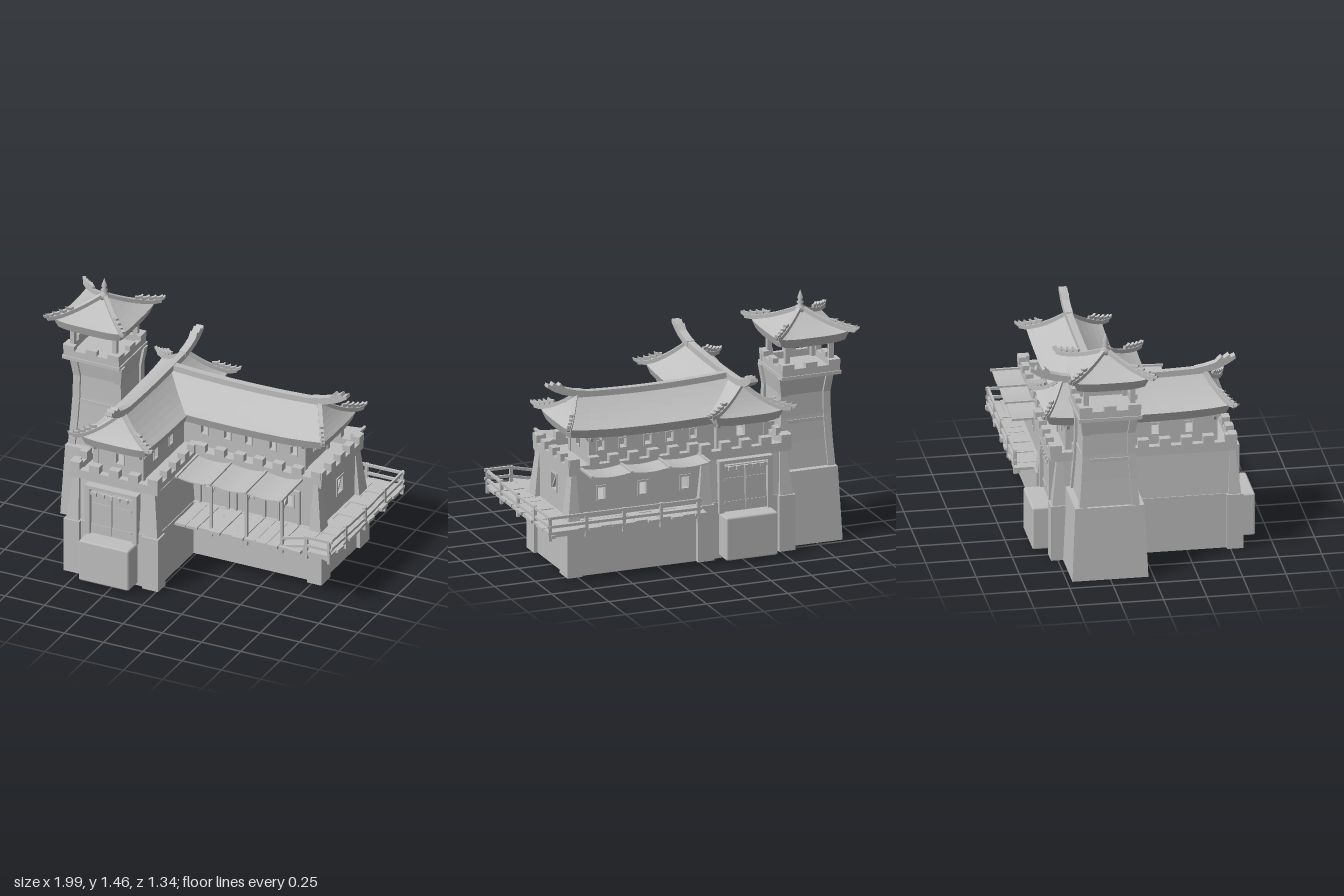
import * as THREE from 'three';
import { RoundedBoxGeometry } from 'three/addons/geometries/RoundedBoxGeometry.js';

const stone = new THREE.MeshStandardMaterial({ color: 0xbfbfbf });
stone.name = 'grey stone';

function add(parent, name, geo) {
  const m = new THREE.Mesh(geo, stone);
  m.name = name;
  parent.add(m);
  return m;
}
function box(parent, name, x0, x1, y0, y1, z0, z1) {
  const m = add(parent, name, new THREE.BoxGeometry(x1 - x0, y1 - y0, z1 - z0));
  m.position.set((x0 + x1) / 2, (y0 + y1) / 2, (z0 + z1) / 2);
  return m;
}
function group(parent, name) {
  const g = new THREE.Group();
  g.name = name;
  parent.add(g);
  return g;
}
// Closed, flat-shaded solid through a stack of rings
function loft(rings) {
  const n = rings[0].length, last = rings.length - 1, idx = [];
  for (let j = 0; j < last; j++) for (let i = 0; i < n; i++) {
    const a = j * n + i, b = j * n + (i + 1) % n;
    idx.push(a, b, b + n, a, b + n, a + n);
  }
  for (let i = 1; i < n - 1; i++) idx.push(0, i + 1, i, last * n, last * n + i, last * n + i + 1);
  const g = new THREE.BufferGeometry();
  g.setAttribute('position', new THREE.Float32BufferAttribute(rings.flat(2), 3));
  g.setIndex(idx);
  const flat = g.toNonIndexed();
  flat.computeVertexNormals();
  return flat;
}
const ring = (x0, x1, z0, z1, y) => [[x0, y, z1], [x1, y, z1], [x1, y, z0], [x0, y, z0]];
// Hollow block, open at the bottom; f(inset, y) gives its outline
const hollow = (f, y, t = 0.008) => loft([f(t, y - 0.02), f(t, 0), f(0, 0), f(0, y)]);
// Rectangular bar along a path, w wide and h tall
function sweep(pts, w, h) {
  const up = new THREE.Vector3(0, 1, 0);
  return loft(pts.map((p, i) => {
    const t = pts[Math.min(i + 1, pts.length - 1)].clone().sub(pts[Math.max(i - 1, 0)]).setY(0).normalize();
    const s = up.clone().cross(t);
    return [[-1, -1], [1, -1], [1, 1], [-1, 1]].map(([a, b]) =>
      [p.x + s.x * a * w / 2, p.y + b * h / 2, p.z + s.z * a * w / 2]);
  }));
}
const V = (x, y, z) => new THREE.Vector3(x, y, z);
const bar = (parent, name, a, b, w, h = w) => add(parent, name, sweep([V(...a), V(...b)], w, h));

// Flat outline given thickness and turned to point along a horizontal direction
function fin(parent, name, pts, thick, pos, dx, dz, s = 1) {
  const g = new THREE.ExtrudeGeometry(new THREE.Shape(pts.map(p => new THREE.Vector2(p[0] * s, p[1] * s))),
    { depth: thick, bevelEnabled: false });
  g.translate(0, 0, -thick / 2);
  const m = add(parent, name, g);
  m.position.copy(pos);
  m.rotation.y = -Math.atan2(dz, dx);
}
const HOOK = [[0, 0], [0.03, 0], [0.052, 0.014], [0.055, 0.03], [0.042, 0.022], [0.025, 0.02], [0, 0.024]];
const TAIL = [[0, 0], [0.08, 0.005], [0.14, 0.022], [0.19, 0.045], [0.235, 0.075], [0.23, 0.095], [0.205, 0.082], [0.195, 0.1],
  [0.165, 0.078], [0.15, 0.09], [0.12, 0.058], [0.06, 0.04], [0, 0.03]];

// Hip roof with a fascia, ridge, projecting hips and ornaments
function hipRoof(parent, name, { cx, cz, hx, hz, rx, rz, eave, top, ext, sag = 0, ends = [-1, 1] }) {
  const g = group(parent, name);
  const P = (sx, sz, v) => {
    const k = 1 - v, c = Math.abs(sx * sz) ** 4, t = rx > rz ? sx : sz;
    return V(cx + sx * (rx + (hx - rx) * k),
      eave + (top - eave) * (0.65 * v + 0.35 * v * v) + 0.014 * c * k ** 3 - sag * (1 - t * t),
      cz + sz * (rz + (hz - rz) * k));
  };
  const N = 10, edge = [];
  for (let i = 0; i < N; i++) edge.push([-1 + 2 * i / N, 1]);
  for (let i = 0; i < N; i++) edge.push([1, 1 - 2 * i / N]);
  for (let i = 0; i < N; i++) edge.push([1 - 2 * i / N, -1]);
  for (let i = 0; i < N; i++) edge.push([-1, -1 + 2 * i / N]);
  const rows = [edge.map(([a, b]) => { const p = P(a, b, 0); return [p.x - a * 0.02, p.y - 0.055, p.z - b * 0.02]; })];
  for (let j = 0; j <= 6; j++) rows.push(edge.map(([a, b]) => P(a, b, j / 6).toArray()));
  add(g, 'roofSlopes', loft(rows));
  // hips with rows of upturned hooks
  for (const sx of [-1, 1]) for (const sz of [-1, 1]) {
    if (!ends.includes(rx > rz ? sx : sz)) continue;
    const path = [];
    for (let j = 6; j >= 0; j--) path.push(P(sx, sz, j / 6).add(V(0, 0.008, 0)));
    const dir = path[6].clone().sub(path[4]).setY(0).normalize();
    path.push(path[6].clone().addScaledVector(dir, ext * 0.6).add(V(0, 0.002, 0)));
    add(g, 'hipRidge', sweep(path, 0.024, 0.024));
    fin(g, 'hipTip', HOOK, 0.016, path[7].clone().addScaledVector(dir, ext * 0.4 - 0.055).add(V(0, -0.004, 0)), dir.x, dir.z);
    for (let i = 0; i < 4; i++)
      fin(g, 'hipHook', HOOK, 0.016, P(sx, sz, i * 0.13).add(V(0, 0.016, 0)), dir.x, dir.z, 0.85);
  }
  // ridge and its tail ornaments
  if (rx + rz > 0) {
    const path = [];
    for (let i = 0; i <= 10; i++) { const t = -1 + i / 5; path.push((rx > rz ? P(t, 1, 1) : P(1, t, 1)).add(V(0, 0.008, 0))); }
    add(g, 'ridge', sweep(path, 0.04, 0.035));
    for (const e of ends) {
      const dx = rx > rz ? e : 0, dz = rx > rz ? 0 : e;
      fin(g, 'ridgeTail', TAIL, 0.045, V(cx + dx * (rx - 0.05), top - 0.003, cz + dz * (rz - 0.05)), dx, dz);
    }
  }
}
// Wall from (x0,z0) to (x1,z1) with rectangular openings [start, end, bottom, top] and frames
function wall(parent, name, x0, z0, x1, z1, y0, y1, holes, frame = 0.012) {
  const len = Math.hypot(x1 - x0, z1 - z0), g = group(parent, name);
  const rect = (T, a, b, c, d) => new T([[a, c], [b, c], [b, d], [a, d]].map(p => new THREE.Vector2(...p)));
  const s = rect(THREE.Shape, 0, len, y0, y1);
  holes.forEach(h => s.holes.push(rect(THREE.Path, ...h)));
  add(g, 'wallPanel', new THREE.ExtrudeGeometry(s, { depth: 0.02, bevelEnabled: false }).translate(0, 0, -0.01));
  for (const [a, b, c, d] of holes) {
    for (const [p, q] of [[a - frame, a], [b, b + frame]]) box(g, 'windowJamb', p, q, c - frame, d + frame, -0.016, 0.016);
    for (const [p, q] of [[c - frame, c], [d, d + frame]]) box(g, 'windowRail', a, b, p, q, -0.016, 0.016);
  }
  g.position.set(x0, 0, z0);
  g.rotation.y = -Math.atan2(z1 - z0, x1 - x0);
}
// Low wall with merlons, axis aligned
function parapet(parent, x0, x1, z0, z1, y, low, high, pitch) {
  const g = group(parent, 'parapet'), alongX = x1 - x0 > z1 - z0;
  box(g, 'parapetWall', x0, x1, y, y + low, z0, z1);
  const L = alongX ? x1 - x0 : z1 - z0, n = Math.max(2, Math.round(L / pitch)), w = L / (2 * n - 1);
  for (let i = 0; i < n; i++) {
    const a = 2 * i * w, b = a + w;
    alongX ? box(g, 'merlon', x0 + a, x0 + b, y + low, y + high, z0 - 0.003, z1 + 0.003)
      : box(g, 'merlon', x0 - 0.003, x1 + 0.003, y + low, y + high, z0 + a, z0 + b);
  }
}
// Base block plus leaning buttress; the outer faces lean inward
function corner(parent, x0, x1, z0, z1, sx, sz) {
  add(parent, 'basePillar', hollow((t, y) => ring(x0 + t, x1 - t, z0 + t, z1 - t, y), 0.335));
  const c = (a, b, s, d, e) => s > 0 ? [a + e, b - d] : [a + d, b - e];
  add(parent, 'leaningPillar', loft([
    ring(...c(x0, x1, sx, 0.01, 0.01), ...c(z0, z1, sz, 0.01, 0.01), 0.335),
    ring(...c(x0, x1, sx, 0.042, 0.022), ...c(z0, z1, sz, 0.042, 0.022), 0.615)]));
}
// Double gate on a wall, built for +z
function gate(parent, x, z, turn) {
  const g = group(parent, 'gate');
  for (const s of [-1, 1]) {
    box(g, 'gateJamb', s * 0.15 - 0.015, s * 0.15 + 0.015, 0.27, 0.57, -0.03, 0.018);
    box(g, 'gateLeaf', s * 0.066 - 0.064, s * 0.066 + 0.064, 0.28, 0.55, -0.03, 0);
    for (let i = 0; i < 2; i++) box(g, 'gateBand', s * 0.066 - 0.06, s * 0.066 + 0.06, 0.32 + i * 0.14, 0.335 + i * 0.14, -0.01, 0.004);
  }
  box(g, 'gateLintel', -0.165, 0.165, 0.565, 0.585, -0.03, 0.02);
  box(g, 'gateBeam', -0.135, 0.135, 0.525, 0.545, -0.03, 0.01);
  for (let i = -2; i <= 2; i++) box(g, 'beamStud', i * 0.05 - 0.009, i * 0.05 + 0.009, 0.524, 0.546, -0.01, 0.022);
  add(g, 'gateStep', new RoundedBoxGeometry(0.32, 0.26, 0.14, 1, 0.012)).position.set(0, 0.143, 0.042);
  g.position.set(x, 0, z);
  g.rotation.y = turn;
}
// Sagging cloth slab on beams
function awning(parent, xs, z0, z1, y0, y1) {
  const g = group(parent, 'awning');
  const a = xs[0], b = xs[xs.length - 1];
  const geo = new THREE.BoxGeometry(b - a, 0.008, z1 - z0, 24, 1, 4).toNonIndexed(), p = geo.attributes.position;
  for (let i = 0; i < p.count; i++) {
    const x = p.getX(i) + (a + b) / 2, t = p.getZ(i) / (z1 - z0) + 0.5;
    const k = Math.max(0, xs.findIndex(v => v >= x - 1e-6) - 1);
    const sag = Math.sin(Math.PI * (x - xs[k]) / (xs[k + 1] - xs[k])) * 0.013;
    p.setY(i, p.getY(i) + y0 + (y1 - y0) * t - Math.abs(sag));
  }
  geo.computeVertexNormals();
  add(g, 'awningCloth', geo).position.set((a + b) / 2, 0, (z0 + z1) / 2);
  for (const x of xs) bar(g, 'awningBeam', [x, y0 + 0.006, z0 - 0.01], [x, y1 + 0.006, z1 + 0.01], 0.014);
}

export function createModel() {
  const root = new THREE.Group();
  root.name = 'fortifiedHouse';

  // Hollow stone base and corner pillars
  const base = group(root, 'base');
  add(base, 'baseWalls', hollow((t, y) => [[-0.015 - t, y, 0.06 - t], [0.79 - t, y, 0.06 - t], [0.79 - t, y, -0.51 + t],
    [-0.565 + t, y, -0.51 + t], [-0.565 + t, y, 0.55 - t], [-0.015 - t, y, 0.55 - t]], 0.335));
  corner(base, -0.59, -0.49, 0.48, 0.573, -1, 1);
  corner(base, -0.09, 0.012, 0.48, 0.573, 1, 1);
  corner(base, -0.59, -0.49, -0.54, -0.44, -1, -1);
  corner(base, -0.09, 0.012, -0.54, -0.44, 1, -1);
  corner(base, 0.72, 0.812, -0.027, 0.09, 1, 1);
  corner(base, 0.72, 0.812, -0.53, -0.41, 1, -1);

  // Middle storey
  const mid = group(root, 'middleStorey');
  add(mid, 'hallWalls', loft([ring(-0.56, -0.02, -0.505, 0.54, 0.335), ring(-0.54, -0.04, -0.485, 0.51, 0.615)]));
  const slots = [0.07, 0.33, 0.585].map(x => [x - 0.022 + 0.05, x + 0.022 + 0.05, 0.44, 0.51]);
  wall(mid, 'wingFrontWall', -0.05, 0.03, 0.76, 0.03, 0.335, 0.615, slots);
  wall(mid, 'wingBackWall', -0.05, -0.475, 0.76, -0.475, 0.335, 0.615, slots);
  wall(mid, 'wingEndWall', 0.76, -0.475, 0.76, 0.03, 0.335, 0.615, [[0.21, 0.28, 0.445, 0.535]]);
  bar(mid, 'openShutter', [0.765, 0.45, -0.2], [0.765, 0.53, -0.25], 0.012, 0.02);
  for (const [a, b] of [[0.02, 0.2], [0.25, 0.43], [0.52, 0.65]]) {
    for (const x of [a, b]) box(mid, 'wallStrip', x - 0.007, x + 0.007, 0.335, 0.54, 0.03, 0.058);
    box(mid, 'wallHeader', a - 0.007, b + 0.007, 0.538, 0.552, 0.03, 0.06);
  }
  gate(mid, -0.29, 0.555, 0);
  gate(mid, -0.29, -0.512, Math.PI);

  // Terrace floor and battlements
  const terrace = group(root, 'terrace');
  box(terrace, 'hallTerrace', -0.565, -0.008, 0.6, 0.618, -0.53, 0.54);
  box(terrace, 'wingTerrace', -0.02, 0.787, 0.6, 0.618, -0.498, 0.045);
  const line = (x0, x1, z0, z1) => parapet(terrace, x0, x1, z0, z1, 0.61, 0.045, 0.09, 0.115);
  line(-0.565, -0.008, 0.5, 0.54);
  line(-0.565, -0.008, -0.54, -0.5);
  line(-0.565, -0.525, -0.535, 0.535);
  line(-0.052, -0.012, 0.01, 0.535);
  line(-0.012, 0.787, 0.008, 0.045);
  line(-0.012, 0.787, -0.5, -0.463);
  line(0.75, 0.79, -0.497, 0.042);

  // Upper storey with small see-through windows
  const upper = group(root, 'upperStorey');
  const gap = [0.13, 0.18, 0.695, 0.76], sides = [0.28, 0.085, -0.28].map(z => [z + 0.42 - 0.022, z + 0.42 + 0.022, 0.69, 0.755]);
  for (const z of [-0.42, 0.43]) wall(upper, 'hallEndWall', -0.45, z, -0.16, z, 0.615, 0.83, [gap], 0.006);
  for (const x of [-0.45, -0.16]) wall(upper, 'hallSideWall', x, -0.42, x, 0.43, 0.615, 0.83, sides, 0.006);
  const slits = [-0.02, 0.125, 0.26, 0.415, 0.55].map(x => [x + 0.16 - 0.02, x + 0.16 + 0.02, 0.7, 0.755]);
  for (const z of [-0.38, -0.1]) wall(upper, 'wingSideWall', -0.16, z, 0.61, z, 0.615, 0.83, slits, 0.006);
  wall(upper, 'wingEndWall', 0.61, -0.38, 0.61, -0.1, 0.615, 0.83, [[0.135, 0.18, 0.69, 0.755]], 0.006);
  for (const [x, z, sx, sz] of [[-0.45, 0.43, -1, 1], [-0.16, 0.43, 1, 1], [-0.45, -0.42, -1, -1], [-0.16, -0.42, 1, -1],
    [0.61, -0.1, 1, 1], [0.61, -0.38, 1, -1]]) {
    box(upper, 'cornerPost', x - 0.016, x + 0.016, 0.615, 0.82, z - 0.016, z + 0.016);
    bar(upper, 'eaveBracket', [x, 0.74, z], [x + sx * 0.03, 0.79, z], 0.016, 0.022);
    bar(upper, 'eaveBracket', [x, 0.74, z], [x, 0.79, z + sz * 0.03], 0.016, 0.022);
  }
  for (const x of [0.05, 0.2, 0.4, 0.55]) box(upper, 'rafterEnd', x - 0.01, x + 0.01, 0.77, 0.79, -0.43, -0.05);

  // Main roofs
  hipRoof(root, 'hallRoof', { cx: -0.305, cz: -0.02, hx: 0.208, hz: 0.53, rx: 0, rz: 0.41, eave: 0.845, top: 0.995, ext: 0.075, sag: 0.01 });
  hipRoof(root, 'wingRoof', { cx: 0.18, cz: -0.235, hx: 0.588, hz: 0.22, rx: 0.46, rz: 0, eave: 0.85, top: 0.993, ext: 0.07, sag: 0.016, ends: [1] });

  // Watchtower
  const tower = group(root, 'watchtower');
  const TX = -0.71, TZ = -0.25;
  add(tower, 'towerBase', hollow((t, y) => ring(-0.91 + y * 0.05 + t, -0.51 - y * 0.03 - t,
    TZ - 0.22 + y * 0.045 + t, TZ + 0.22 - y * 0.045 - t, y), 0.44));
  const prof = [[0.44, 0.172], [0.6, 0.16], [0.75, 0.152], [0.88, 0.15], [0.99, 0.165]];
  add(tower, 'towerShaft', loft(prof.map(([y, h]) => ring(TX - h + 0.012, TX + h - 0.012, TZ - h + 0.012, TZ + h - 0.012, y))));
  for (const sx of [-1, 1]) for (const sz of [-1, 1]) {
    add(tower, 'shaftPillar', loft(prof.map(([y, h]) => {
      const x = TX + sx * (h - 0.02), z = TZ + sz * (h - 0.02);
      return ring(x - 0.022, x + 0.022, z - 0.022, z + 0.022, y);
    })));
    const px = -0.735 + sx * 0.135, pz = TZ + sz * 0.135;
    box(tower, 'lookoutPost', px - 0.014, px + 0.014, 0.99, 1.2, pz - 0.014, pz + 0.014);
  }
  box(tower, 'shaftBand', TX - 0.147, TX + 0.147, 0.71, 0.73, TZ - 0.147, TZ + 0.147);
  box(tower, 'lookoutFloor', -0.918, -0.552, 0.985, 1.005, TZ - 0.183, TZ + 0.183);
  for (const s of [-1, 1]) {
    const x = -0.735 + s * 0.162, z = TZ + s * 0.162;
    parapet(tower, -0.912, -0.558, z - 0.014, z + 0.014, 1.0, 0.045, 0.075, 0.12);
    parapet(tower, x - 0.014, x + 0.014, TZ - 0.175, TZ + 0.175, 1.0, 0.045, 0.075, 0.12);
    box(tower, 'lookoutBeam', -0.87, -0.6, 1.165, 1.19, TZ + s * 0.135 - 0.012, TZ + s * 0.135 + 0.012);
    box(tower, 'lookoutBeam', -0.735 + s * 0.135 - 0.012, -0.735 + s * 0.135 + 0.012, 1.165, 1.19, TZ - 0.135, TZ + 0.135);
  }
  hipRoof(tower, 'towerRoof', { cx: -0.738, cz: TZ, hx: 0.216, hz: 0.216, rx: 0, rz: 0, eave: 1.235, top: 1.35, ext: 0.062 });
  const spire = [[0, 1.33], [0.03, 1.33], [0.03, 1.36], [0.012, 1.37], [0.022, 1.385], [0.01, 1.395], [0.018, 1.41], [0, 1.46]];
  add(tower, 'finial', new THREE.LatheGeometry(spire.map(p => new THREE.Vector2(...p)), 8)).position.set(-0.738, 0, TZ);

  // Timber decks with uneven planks
  const deck = group(root, 'deck');
  const jit = i => 0.008 * Math.sin(i * 2.7);
  for (let i = 0; i < 11; i++) {
    const x = i * 0.073;
    box(deck, 'frontPlank', x, x + 0.07, 0.318, 0.334 + jit(i) / 4, 0.04, 0.335 + jit(i));
    box(deck, 'backPlank', x, x + 0.07, 0.318, 0.334 + jit(i) / 4, -0.65 + jit(i), -0.49);
  }
  for (let i = 0; i < 12; i++) box(deck, 'endPlank', 0.785, 0.98 + jit(i), 0.318, 0.334 + jit(i) / 4, -0.65 + i * 0.08, -0.573 + i * 0.08);
  for (const z of [0.29, -0.63]) box(deck, 'longJoist', 0, 0.97, 0.298, 0.318, z - 0.01, z + 0.01);
  box(deck, 'endJoist', 0.94, 0.96, 0.298, 0.318, -0.66, 0.31);

  // Railings
  const rail = group(root, 'railing');
  const post = (x, z) => box(rail, 'railPost', x - 0.009, x + 0.009, 0.28, 0.425, z - 0.009, z + 0.009);
  for (const z of [0.3, 0.09, -0.16, -0.41, -0.64]) post(0.965, z);
  for (const x of [0.05, 0.28, 0.51, 0.74]) post(x, -0.64);
  post(0.82, 0.3);
  for (const y of [0.36, 0.412]) {
    bar(rail, 'endRail', [0.965, y, 0.31], [0.965, y - 0.008, -0.17], 0.013, 0.016);
    bar(rail, 'endRail', [0.965, y - 0.008, -0.15], [0.965, y + 0.006, -0.655], 0.013, 0.016);
    bar(rail, 'backRail', [0.03, y, -0.64], [0.98, y + 0.004, -0.64], 0.013, 0.016);
    bar(rail, 'frontRail', [0.66, y - 0.035, 0.3], [0.83, y + 0.006, 0.3], 0.013, 0.016);
    bar(rail, 'frontRail', [0.81, y + 0.006, 0.3], [0.985, y + 0.008, 0.3], 0.013, 0.016);
  }

  // Awnings with posts and braces
  awning(root, [0.0, 0.215, 0.44, 0.665], 0.03, 0.31, 0.626, 0.616);
  awning(root, [-0.01, 0.235, 0.47, 0.715], -0.66, -0.49, 0.634, 0.634);
  for (const x of [0.215, 0.44, 0.665]) {
    box(root, 'awningPost', x - 0.008, x + 0.008, 0.28, 0.625, 0.292, 0.308);
    bar(root, 'awningBrace', [x, 0.55, 0.3], [x, 0.61, 0.24], 0.011, 0.018);
  }
  return root;
}
